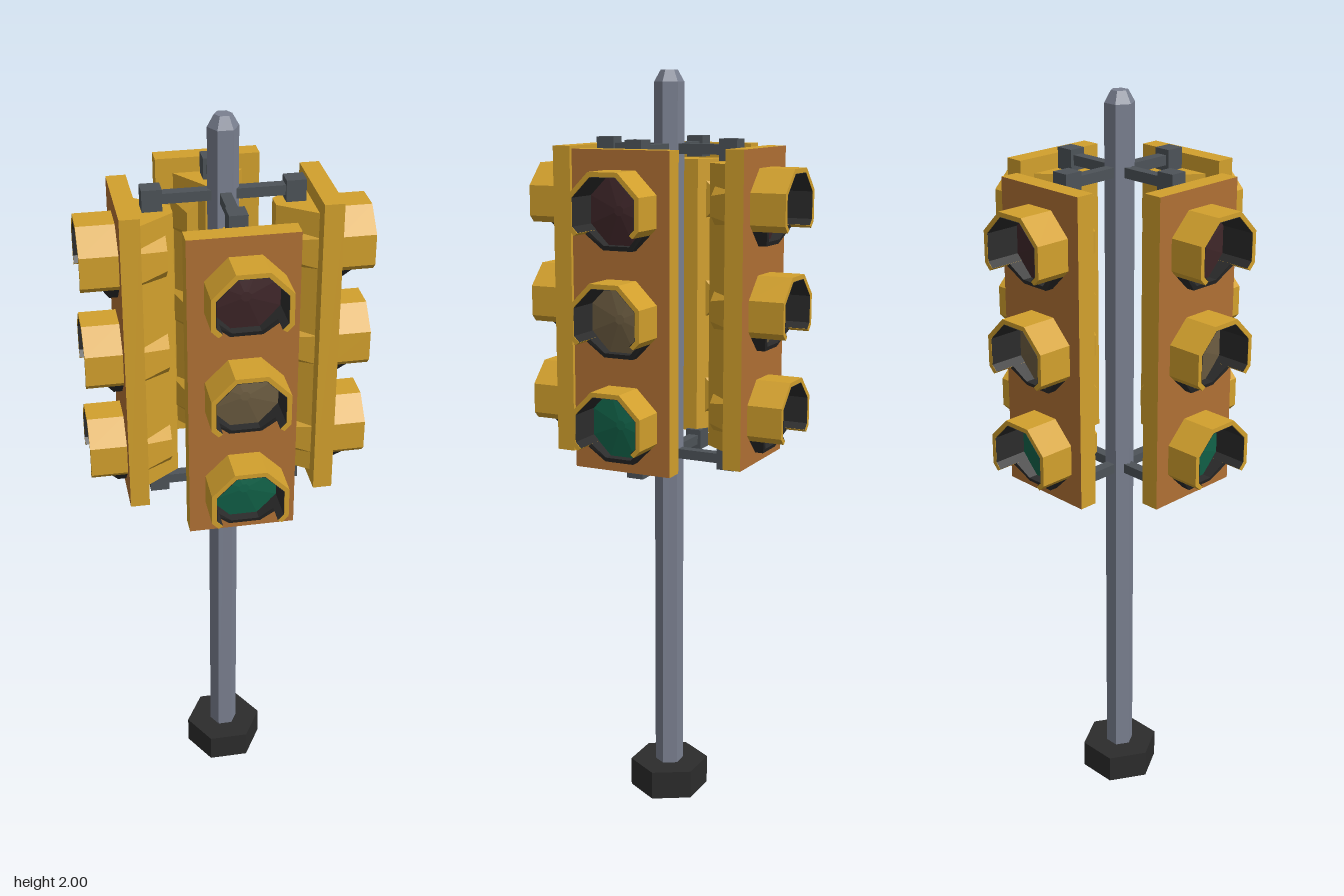
import * as THREE from 'three';

const mat = (name, color, side = THREE.FrontSide) =>
  new THREE.MeshStandardMaterial({ name, color, side, flatShading: true });

export function createModel() {
  const yellow = mat('yellow paint', 0xd2a02d);
  const orange = mat('orange face', 0xb07034);
  const black = mat('black', 0x2c2c2c, THREE.DoubleSide);
  const steel = mat('pole steel', 0x7a8090);
  const bracket = mat('bracket grey', 0x4d5358);
  const lenses = [
    ['redLens', mat('dark red', 0x40272a), 1.664],
    ['amberLens', mat('dark amber', 0x6e5e42), 1.396],
    ['greenLens', mat('green', 0x12644a), 1.126],
  ];

  const add = (parent, name, geometry, material, x = 0, y = 0, z = 0) => {
    const mesh = new THREE.Mesh(geometry, material);
    mesh.name = name;
    mesh.position.set(x, y, z);
    parent.add(mesh);
    return mesh;
  };
  // Upright hexagonal prism with corners on the x axis
  const hex = (top, bottom, h) =>
    new THREE.CylinderGeometry(top, bottom, h, 6, 1, false, Math.PI / 6);
  // Octagonal frustum along z with a flat top side; sizes are apothems
  const oct = (front, back, h) => {
    const k = 1 / Math.cos(Math.PI / 8);
    return new THREE.CylinderGeometry(front * k, back * k, h, 8, 1, false, Math.PI / 8)
      .rotateX(Math.PI / 2);
  };

  // Octagon outline split into an upper hood path and a lower rim path
  const A = 0.097, B = 0.04, CX = 0.08, CY = -0.057, INNER = 0.88;
  const hoodPath = [[-CX, CY], [-A, -B], [-A, B], [-B, A], [B, A], [A, B], [A, -B], [CX, CY]];
  const rimPath = [[CX, CY], [B, -A], [-B, -A], [-CX, CY]];
  const scaled = (path, s) => path.map(([x, y]) => new THREE.Vector2(x * s, y * s));
  const band = (path, depth) => {
    const shape = new THREE.Shape([...scaled(path, 1), ...scaled(path, INNER).reverse()]);
    return new THREE.ExtrudeGeometry(shape, { depth, bevelEnabled: false });
  };
  const hoodGeo = band(hoodPath, 0.095);

  // Lower rim gets shallower toward the bottom
  const rimGeo = band(rimPath, 0.04);
  const rp = rimGeo.attributes.position;
  for (let i = 0; i < rp.count; i++) {
    if (rp.getZ(i) > 0.01) {
      const t = THREE.MathUtils.clamp((CY - rp.getY(i)) / (CY + A), 0, 1);
      rp.setZ(i, 0.04 - 0.018 * t);
    }
  }
  rimGeo.computeVertexNormals();

  // Thin black lining inside the hood
  const linerPos = [], linerIdx = [];
  scaled(hoodPath, INNER - 0.012).forEach((p, i) => {
    linerPos.push(p.x, p.y, 0, p.x, p.y, 0.094);
    if (i) {
      const k = i * 2;
      linerIdx.push(k - 2, k - 1, k, k, k - 1, k + 1);
    }
  });
  const linerGeo = new THREE.BufferGeometry();
  linerGeo.setAttribute('position', new THREE.Float32BufferAttribute(linerPos, 3));
  linerGeo.setIndex(linerIdx);
  linerGeo.computeVertexNormals();

  // Tapered rear housing, drawn in plan and extruded upward
  const plan = new THREE.Shape([
    new THREE.Vector2(-0.09, -0.22), new THREE.Vector2(0.09, -0.22),
    new THREE.Vector2(0.022, -0.127), new THREE.Vector2(-0.022, -0.127),
  ]);
  const housingGeo = new THREE.ExtrudeGeometry(plan, { depth: 0.74, bevelEnabled: false })
    .rotateX(-Math.PI / 2);

  const plateGeo = new THREE.BoxGeometry(0.27, 0.81, 0.05);
  const plateMats = [yellow, yellow, yellow, yellow, orange, yellow];
  const backGeo = oct(0.095, 0.063, 0.072);
  const lensGeo = oct(0.012, 0.086, 0.012);
  const armGeo = new THREE.BoxGeometry(0.028, 0.026, 0.16);
  const clampGeo = new THREE.BoxGeometry(0.046, 0.055, 0.05);

  const makeHead = () => {
    const head = new THREE.Group();
    add(head, 'facePlate', plateGeo, plateMats, 0, 1.405, 0.245);
    add(head, 'rearHousing', housingGeo, yellow, 0, 1.03, 0);
    for (const [name, material, y] of lenses) {
      const lamp = new THREE.Group();
      lamp.name = name + 'Lamp';
      lamp.position.set(0.003, y, 0);
      add(lamp, 'lampBack', backGeo, yellow, 0, 0, 0.184);
      add(lamp, name, lensGeo, material, 0, 0, 0.277);
      add(lamp, 'hood', hoodGeo, yellow, 0, 0, 0.27);
      add(lamp, 'hoodLining', linerGeo, black, 0, 0, 0.271);
      add(lamp, 'lowerRim', rimGeo, black, 0, 0, 0.27);
      head.add(lamp);
    }
    // Mounting arms above and below the housing
    for (const y of [0.993, 1.803]) {
      add(head, 'mountingArm', armGeo, bracket, 0, y, 0.09);
      add(head, 'armClamp', clampGeo, bracket, 0, y, 0.177);
    }
    return head;
  };

  const model = new THREE.Group();
  model.name = 'trafficSignal';
  add(model, 'base', hex(0.109, 0.109, 0.08), black, 0, 0.04, 0);
  add(model, 'pole', hex(0.039, 0.039, 1.89), steel, 0, 1.025, 0);
  add(model, 'poleCap', hex(0.022, 0.039, 0.03), steel, 0, 1.985, 0);

  // Four identical signal heads around the pole
  ['frontHead', 'leftHead', 'backHead', 'rightHead'].forEach((name, i) => {
    const head = makeHead();
    head.name = name;
    head.rotation.y = (i * Math.PI) / 2;
    model.add(head);
  });
  return model;
}
